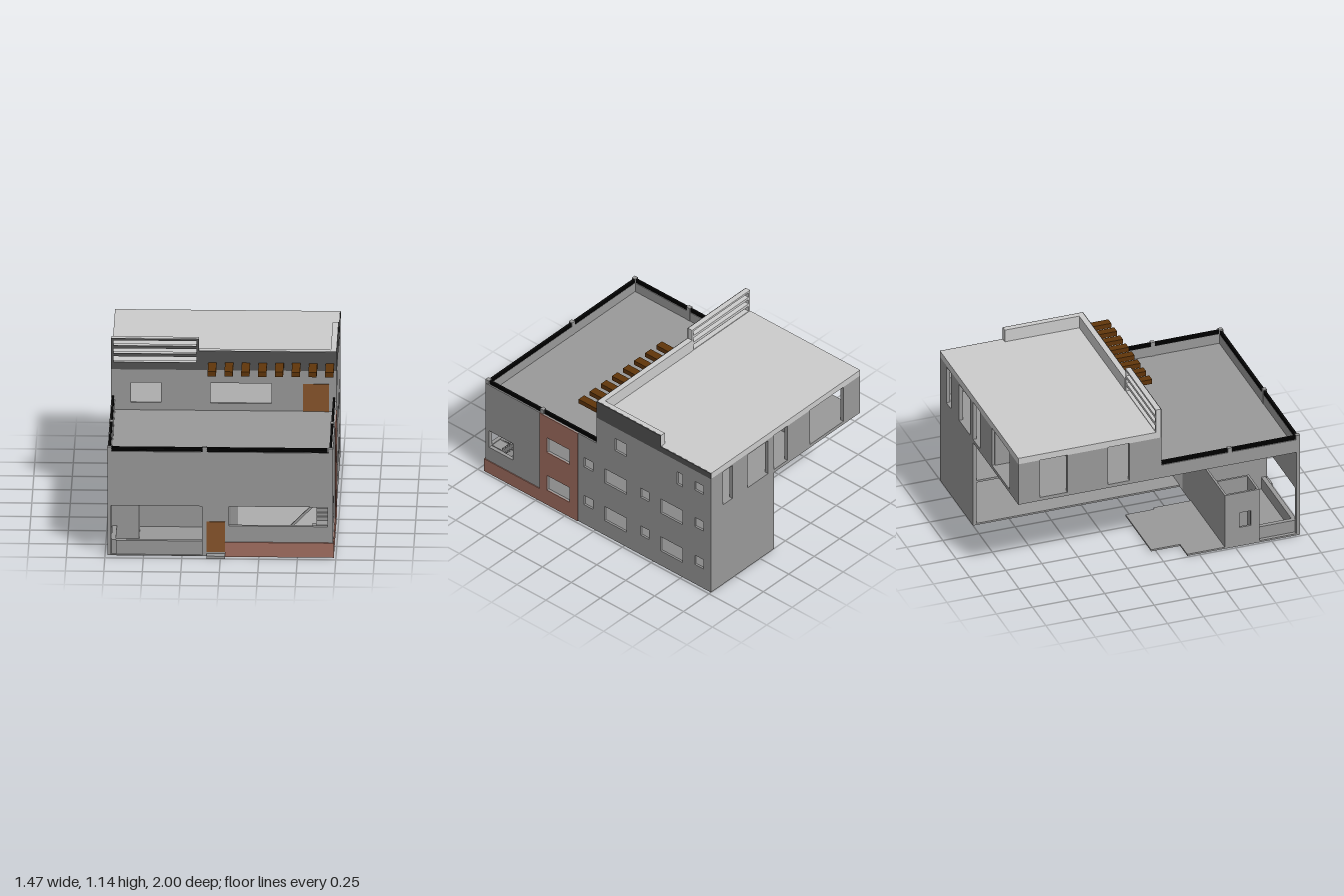
import * as THREE from 'three';

const mat = (name, color) => {
  const m = new THREE.MeshStandardMaterial({ color, side: THREE.DoubleSide });
  m.name = name;
  return m;
};

export function createModel() {
  const root = new THREE.Group();
  root.name = 'house';
  const wallGrey = mat('wall grey', 0x999999);
  const light = mat('light grey', 0xcccccc);
  const dark = mat('dark cladding', 0x525252);
  const brick = mat('brick red', 0xa26f61);
  const doorWood = mat('door wood', 0x88552b);
  const beamWood = mat('beam wood', 0x603509);
  const black = mat('railing black', 0x080808);

  const add = (name, geo, m) => {
    const mesh = new THREE.Mesh(geo, m);
    mesh.name = name;
    root.add(mesh);
    return mesh;
  };
  // box from its minimum and maximum corners
  const box = (name, m, x0, x1, y0, y1, z0, z1) => {
    const g = new THREE.BoxGeometry(x1 - x0, y1 - y0, z1 - z0);
    g.translate((x0 + x1) / 2, (y0 + y1) / 2, (z0 + z1) / 2);
    return add(name, g, m);
  };
  // slab in the (u, y) plane with rectangular holes [u0, u1, y0, y1]
  const panel = (u0, u1, y0, y1, t, holes) => {
    const rect = (p, a, b, c, d) => {
      p.moveTo(a, c); p.lineTo(b, c); p.lineTo(b, d); p.lineTo(a, d); p.closePath();
      return p;
    };
    const s = rect(new THREE.Shape(), u0, u1, y0, y1);
    holes.forEach(h => s.holes.push(rect(new THREE.Path(), ...h)));
    return new THREE.ExtrudeGeometry(s, { depth: t, bevelEnabled: false });
  };
  // wall facing z: outer face at z, going back by t
  const wallZ = (name, m, x0, x1, y0, y1, z, t, holes = []) =>
    add(name, panel(x0, x1, y0, y1, t, holes).translate(0, 0, z - t), m);
  // wall facing x: face at x, going toward -x by t
  const wallX = (name, m, z0, z1, y0, y1, x, t, holes = []) =>
    add(name, panel(z0, z1, y0, y1, t, holes).rotateY(-Math.PI / 2).translate(x, 0, 0), m);

  const L = -0.735, R = 0.73, FLOOR = 0.65, T = 0.025;

  // ---- right wall with its rows of windows
  const small = [[0.02, 0.1], [-0.465, -0.39], [-0.935, -0.86]];
  const large = [[-0.27, -0.08], [-0.755, -0.565]];
  const rightWin = [
    [-0.27, -0.17, 0.74, 0.84], [-0.755, -0.705, 0.74, 0.84], [-0.935, -0.86, 0.77, 0.84],
  ];
  for (const dy of [0, 0.31]) {
    small.forEach(([a, b]) => rightWin.push([a, b, 0.16 + dy, 0.235 + dy]));
    large.forEach(([a, b]) => rightWin.push([a, b, 0.12 + dy, 0.235 + dy]));
  }
  const brickWin = [[0.22, 0.415, 0.12, 0.24], [0.22, 0.415, 0.43, 0.55]];
  const inRear = w => w[1] < -0.01;
  wallX('rearRightWall', wallGrey, -1, -0.01, 0, 0.93, R, T, rightWin.filter(inRear));
  wallX('frontRightWall', wallGrey, -0.01, 0.95, 0, 0.72, R, T,
    [...rightWin.filter(w => !inRear(w)), ...brickWin, [0.715, 0.92, 0.21, 0.345]]);
  [...rightWin, ...brickWin].forEach(([a, b, c, d]) =>
    box('windowPane', light, R - 0.02, R - 0.014, c, d, a, b));

  // ---- brick facing
  wallX('brickPanel', brick, 0.15, 0.48, 0, 0.72, R + 0.006, 0.006, brickWin);
  box('brickBaseRight', brick, R, R + 0.006, 0, 0.1, 0.48, 0.96);
  box('brickBaseFront', brick, 0.03, R + 0.006, 0, 0.1, 0.95, 0.96);

  // ---- front wall, entrance door and step
  wallZ('frontWall', wallGrey, L, R, 0, 0.72, 0.95, T,
    [[-0.71, -0.12, 0.005, 0.345], [0.055, 0.695, 0.21, 0.345]]);
  box('frontDoor', doorWood, -0.09, 0.03, 0.03, 0.24, 0.95, 0.955);
  box('doorBack', doorWood, -0.09, 0.03, 0.03, 0.24, 0.919, 0.925);
  box('frontStep', wallGrey, -0.09, 0.03, 0, 0.018, 0.95, 1.0);

  // ---- floors
  box('groundFloorRight', wallGrey, 0.11, R - T, 0, 0.012, -1 + T, 0.43);
  box('middleFloor', wallGrey, 0.11, R - T, 0.32, 0.335, -1 + T, 0.43);
  box('groundFloorLeft', wallGrey, L, -0.1, 0, 0.012, 0.17, 0.93);
  box('groundFloorLeftBack', wallGrey, -0.6, -0.12, 0, 0.012, -0.03, 0.17);
  box('upperFloor', wallGrey, L, R - T, 0.625, FLOOR, -1, -0.01);
  box('terraceFloor', wallGrey, L, R - T, 0.625, FLOOR, -0.01, 0.925);
  box('leftParapet', wallGrey, L, L + T, 0.625, 0.72, -0.01, 0.925);

  // ---- porch with alcove and low wall
  box('porchBackWall', wallGrey, L, 0.1, 0, 0.4, 0.43, 0.445);
  wallX('alcoveLeftWall', wallGrey, 0.445, 0.67, 0, 0.4, L + 0.015, 0.015, [[0.53, 0.61, 0.14, 0.25]]);
  box('alcoveFront', wallGrey, L, -0.535, 0, 0.4, 0.655, 0.67);
  box('alcoveRightWall', wallGrey, -0.55, -0.535, 0, 0.4, 0.445, 0.655);
  box('porchLowWallFront', wallGrey, -0.68, -0.12, 0, 0.1, 0.91, 0.94);
  box('porchLowWallLeft', wallGrey, -0.71, -0.68, 0, 0.1, 0.67, 0.93);
  for (const x of [-0.12, 0.04]) box('hallWall', wallGrey, x, x + 0.015, 0, 0.4, 0.445, 0.925);

  // ---- stair room
  box('stairRoomBackWall', light, 0.055, R - T, 0, 0.345, 0.43, 0.44);
  box('stairLanding', wallGrey, 0.62, 0.7, 0.195, 0.21, 0.83, 0.92);
  for (let i = 0; i < 8; i++) {
    const y = 0.21 + i * 0.022, z = 0.83 - i * 0.02;
    box('upperStair', wallGrey, 0.62, 0.7, y - 0.02, y + 0.022, z - 0.022, z);
    const x = 0.62 - i * 0.026;
    box('lowerStair', wallGrey, x - 0.026, x, 0.17 - i * 0.024, 0.19 - i * 0.024, 0.83, 0.92);
  }
  const rail = box('stairHandrail', wallGrey, -0.19, 0.19, -0.008, 0.008, -0.006, 0.006);
  rail.rotation.z = 0.8;
  rail.position.set(0.5, 0.215, 0.835);

  // ---- rear wall: closed on the right, open bays on the upper left
  wallZ('backWall', wallGrey, 0.11, R, 0, 0.93, -1 + T, T,
    [[0.52, 0.61, 0.65, 0.92], [0.17, 0.37, 0.65, 0.92]]);
  box('backCornerWall', wallGrey, L, -0.57, FLOOR, 0.93, -1, -1 + T);
  box('backUpperWall', wallGrey, -0.24, -0.02, FLOOR, 0.93, -1, -1 + T);
  for (const [a, b] of [[-1, -0.85], [-0.66, -0.38], [-0.23, -0.01]])
    box('leftUpperWall', wallGrey, L, L + T, FLOOR, 0.93, a, b);
  box('partition', wallGrey, -0.57, 0.11, FLOOR, 0.93, -0.51, -0.49);
  box('partition', wallGrey, -0.25, -0.23, FLOOR, 0.93, -0.98, -0.5);

  // ---- wall onto the terrace
  const terraceWin = [[-0.605, -0.41, 0.7, 0.84], [-0.09, 0.305, 0.7, 0.84]];
  wallZ('terraceWall', wallGrey, L, R, FLOOR, 0.93, -0.01, T, terraceWin);
  terraceWin.forEach(([a, b, c, d]) => box('terracePane', light, a, b, c, d, -0.03, -0.024));
  box('terraceDoor', doorWood, 0.51, 0.68, FLOOR, 0.84, -0.01, -0.004);

  // ---- roof, parapets and slotted screen, dark on the front and right
  box('roof', light, L, R - 0.005, 0.93, 0.975, -1, -0.015);
  box('frontRoofParapet', light, -0.165, R - 0.005, 0.975, 1.063, -0.05, -0.015);
  box('rightRoofParapet', light, 0.69, R - 0.005, 0.975, 1.063, -0.565, -0.05);
  box('frontCladding', dark, -0.165, R, 0.93, 1.062, -0.015, -0.009);
  box('rightCladding', dark, R - 0.005, R + 0.001, 0.93, 1.062, -0.565, -0.01);
  box('rightRoofEdge', dark, R - 0.005, R + 0.001, 0.93, 0.974, -1, -0.565);
  const slots = [[0.98, 1.02], [1.04, 1.075], [1.094, 1.13]].map(([a, b]) => [-0.72, -0.18, a, b]);
  wallZ('roofScreen', light, L, -0.165, 0.975, 1.144, -0.015, 0.033, slots);
  wallZ('roofScreenCladding', dark, L, -0.165, 0.93, 1.143, -0.009, 0.006, slots);

  // ---- pergola beams
  for (let i = 0; i < 8; i++) {
    const x = -0.077 + i * 0.109;
    box('pergolaBeam', beamWood, x - 0.027, x + 0.027, 0.95, 0.983, -0.01, 0.16);
  }

  // ---- terrace railing
  for (const y of [0.715, 0.727, 0.739]) {
    box('frontRailLeft', black, -0.71, -0.118, y, y + 0.008, 0.926, 0.942);
    box('frontRailRight', black, -0.088, 0.695, y, y + 0.008, 0.926, 0.942);
    for (const x of [-0.722, 0.713]) box('sideRail', black, x - 0.007, x + 0.007, y, y + 0.008, -0.01, 0.935);
  }
  for (const [x, z] of [[-0.722, 0.937], [0.715, 0.937], [-0.103, 0.937], [-0.722, 0.465], [0.715, 0.465]])
    box('railingPost', wallGrey, x - 0.014, x + 0.014, FLOOR, 0.752, z - 0.014, z + 0.014);

  return root;
}
